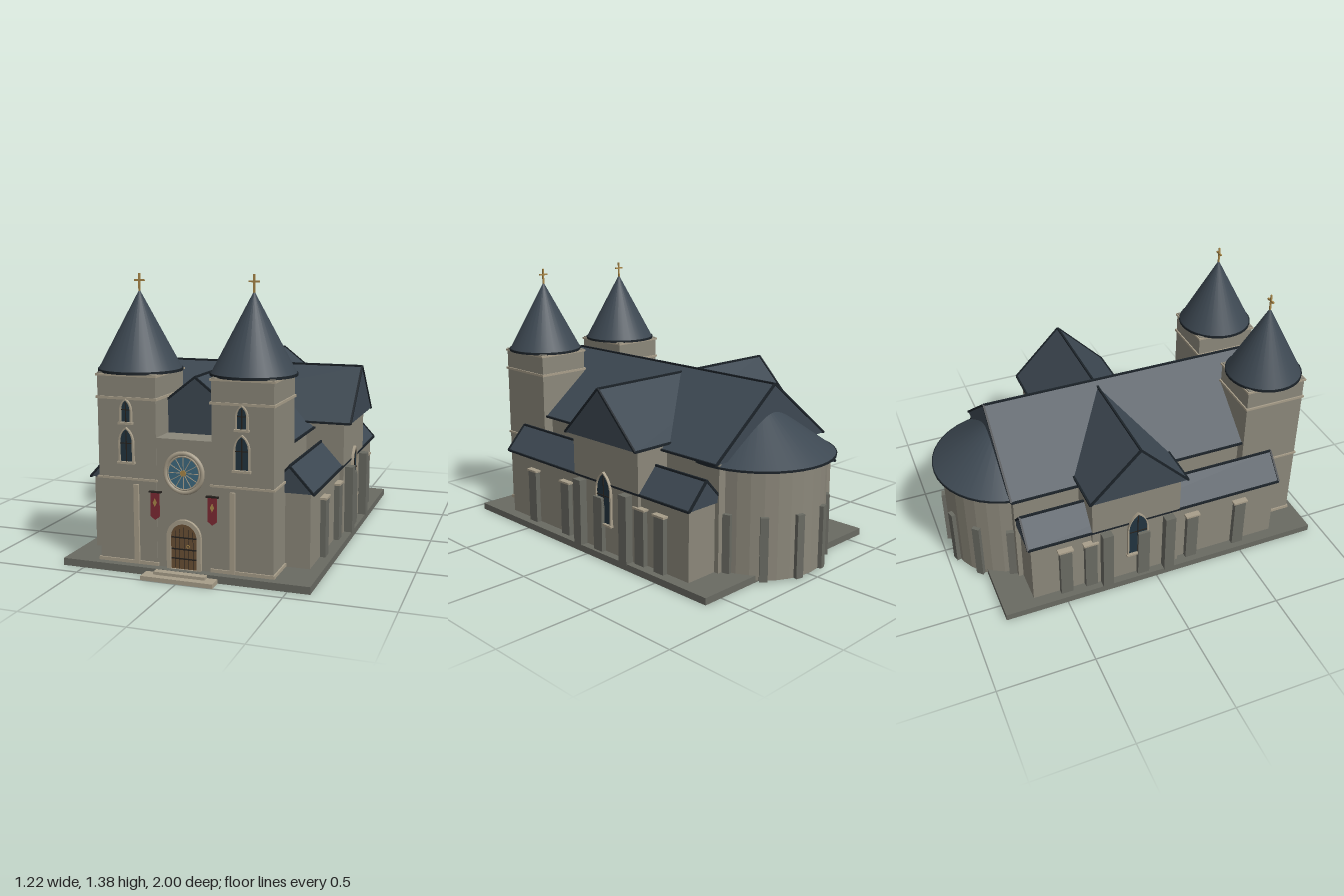
import * as THREE from 'three';

const mat = (color, flatShading = false) => new THREE.MeshStandardMaterial({ color, flatShading });
const M = {
  stone: mat(0x8b877a), stoneFlat: mat(0x8b877a, true), trim: mat(0xa89e8a), dark: mat(0x696a62),
  roof: mat(0x3d4852), edge: mat(0x1c2329), wood: mat(0x6b5035), iron: mat(0x26221e),
  glass: mat(0x22343f), rose: mat(0x3f6b80), red: mat(0x7e2a33), gold: mat(0xa98748),
};

export function createModel() {
  const root = new THREE.Group();

  const add = (name, geo, m, x = 0, y = 0, z = 0, parent = root) => {
    const mesh = new THREE.Mesh(geo, m);
    mesh.name = name;
    mesh.position.set(x, y, z);
    parent.add(mesh);
    return mesh;
  };
  // Box given by its min and max on each axis
  const box = (name, m, x0, x1, y0, y1, z0, z1, parent = root) =>
    add(name, new THREE.BoxGeometry(x1 - x0, y1 - y0, z1 - z0), m,
      (x0 + x1) / 2, (y0 + y1) / 2, (z0 + z1) / 2, parent);
  const group = (name, x = 0, y = 0, z = 0, parent = root) => {
    const g = new THREE.Group();
    g.name = name;
    g.position.set(x, y, z);
    parent.add(g);
    return g;
  };
  const extrude = (shape, depth) =>
    new THREE.ExtrudeGeometry(shape, { depth, bevelEnabled: false, curveSegments: 12 });

  // Solid gable roof along z with dark ridge, eaves and verges
  const gableRoof = (name, halfW, rise, length, parent) => {
    const g = group(name, 0, 0, 0, parent);
    const s = new THREE.Shape();
    s.moveTo(-halfW, 0); s.lineTo(halfW, 0); s.lineTo(0, rise); s.closePath();
    add('roofSlopes', extrude(s, length), M.roof, 0, 0, -length / 2, g);
    const t = 0.01, slope = Math.hypot(halfW, rise), a = Math.atan2(rise, halfW);
    box('ridge', M.edge, -t / 2, t / 2, rise - t / 2, rise + t / 2, -length / 2, length / 2, g);
    for (const sx of [-1, 1]) {
      add('eave', new THREE.BoxGeometry(t, t, length), M.edge, sx * halfW, 0, 0, g);
      for (const sz of [-1, 1]) {
        const v = add('verge', new THREE.BoxGeometry(slope, t, t), M.edge,
          sx * halfW / 2, rise / 2, sz * length / 2, g);
        v.rotation.z = -sx * a;
      }
    }
    return g;
  };

  // Pointed or round arch outline standing on y = 0
  const arch = (w, h, round, Type = THREE.Shape, y0 = 0) => {
    const s = new Type();
    s.moveTo(-w, y0);
    s.lineTo(w, y0);
    if (round) s.absarc(0, h - w, w, 0, Math.PI, false);
    else {
      s.lineTo(w, h - 2 * w);
      s.quadraticCurveTo(w, h - 0.7 * w, 0, h);
      s.quadraticCurveTo(-w, h - 0.7 * w, -w, h - 2 * w);
    }
    s.closePath();
    return s;
  };
  // Arched opening: frame, filling and optional sill, facing +z
  const opening = (name, w, h, f, round, fill, parent, sill = true) => {
    const g = group(name, 0, 0, 0, parent);
    const outer = arch(w + f, h + f, round);
    outer.holes.push(arch(w, h, round, THREE.Path, 0.001));
    add('frame', extrude(outer, 0.018), M.trim, 0, 0, -0.004, g);
    add('filling', extrude(arch(w, h, round), 0.01), fill, 0, 0, -0.004, g);
    if (sill) box('sill', M.trim, -w - f - 0.005, w + f + 0.005, -0.01, 0, -0.004, 0.02, g);
    return g;
  };
  const lancet = (w, h, x, y, z, parent = root) => {
    const g = opening('lancetWindow', w, h, 0.008, false, M.glass, parent);
    g.position.set(x, y, z);
    box('mullion', M.iron, -0.002, 0.002, 0, h - 0.01, 0, 0.01, g);
    box('glazingBar', M.iron, -w, w, h * 0.55, h * 0.55 + 0.004, 0, 0.01, g);
    return g;
  };

  // Plinth and steps
  box('plinth', M.dark, -0.605, 0.605, 0, 0.035, -0.83, 0.93);
  box('lowerStep', M.trim, -0.175, 0.175, 0, 0.02, 0.9, 1.0);
  box('upperStep', M.trim, -0.125, 0.125, 0.02, 0.034, 0.9, 0.965);

  // Nave
  box('naveWalls', M.stone, -0.37, 0.37, 0.03, 0.59, -0.69, 0.74);
  gableRoof('naveRoof', 0.41, 0.32, 1.455).position.set(0, 0.585, 0.02);

  // Transept
  box('transeptWalls', M.stone, -0.565, 0.565, 0.03, 0.62, -0.345, 0.136);
  const tr = gableRoof('transeptRoof', 0.262, 0.265, 1.205);
  tr.position.set(0, 0.615, -0.105);
  tr.rotation.y = Math.PI / 2;

  // Aisles, side buttresses and transept windows
  for (const s of [-1, 1]) {
    const xs = (a, b) => (s > 0 ? [a, b] : [-b, -a]);
    box('aisleWalls', M.stone, ...xs(0.34, 0.545), 0.03, 0.395, -0.665, 0.71);
    gableRoof('aisleRoof', 0.115, 0.125, 1.405).position.set(s * 0.447, 0.39, 0.02);
    for (const z of [0.495, 0.215, -0.07, -0.355, -0.49]) {
      const mid = z === -0.07;
      box('aisleButtress', M.dark, ...xs(0.53, mid ? 0.59 : 0.572), 0.03, 0.318, z - 0.032, z + 0.032);
      if (!mid) box('buttressCap', M.trim, ...xs(0.53, 0.577), 0.318, 0.328, z - 0.04, z + 0.04);
    }
    for (const z of [0.07, -0.275])
      box('transeptButtress', M.dark, ...xs(0.55, 0.608), 0.03, 0.38, z - 0.028, z + 0.028);
    lancet(0.05, 0.26, s * 0.565, 0.185, -0.1).rotation.y = s * Math.PI / 2;
  }

  // Apse with conical roof and radial buttresses
  const apse = group('apse', 0, 0, -0.62);
  add('apseWall', new THREE.CylinderGeometry(0.335, 0.335, 0.55, 32), M.stoneFlat, 0, 0.285, 0, apse);
  add('apseEave', new THREE.CylinderGeometry(0.38, 0.38, 0.01, 40), M.edge, 0, 0.56, 0, apse);
  add('apseRoof', new THREE.ConeGeometry(0.375, 0.26, 40), M.roof, 0, 0.695, 0, apse);
  for (const deg of [-75, -45, -15, 15, 45, 75]) {
    const a = THREE.MathUtils.degToRad(deg);
    const b = add('apseButtress', new THREE.BoxGeometry(0.04, 0.32, 0.04), M.dark,
      Math.sin(a) * 0.335, 0.17, -Math.cos(a) * 0.335, apse);
    b.rotation.y = -a;
  }

  // Front wall between the towers
  box('frontWall', M.stone, -0.14, 0.14, 0.03, 0.64, 0.75, 0.888);

  // Towers with bands, windows, spire and cross
  for (const s of [-1, 1]) {
    const t = group(s > 0 ? 'leftTower' : 'rightTower', s * 0.28, 0, 0.728);
    box('towerWalls', M.stone, -0.145, 0.145, 0.03, 0.93, -0.163, 0.163, t);
    for (const [y, h] of [[0.045, 0.016], [0.44, 0.01], [0.815, 0.012], [0.92, 0.01]])
      box('band', M.trim, -0.152, 0.152, y - h / 2, y + h / 2, -0.17, 0.17, t);
    add('spireEave', new THREE.CylinderGeometry(0.2, 0.2, 0.012, 32), M.edge, 0, 0.932, 0, t);
    add('spire', new THREE.ConeGeometry(0.195, 0.365, 32), M.roof, 0, 1.12, 0, t);
    box('crossPost', M.gold, -0.004, 0.004, 1.29, 1.376, -0.004, 0.004, t);
    box('crossBar', M.gold, -0.026, 0.026, 1.34, 1.348, -0.004, 0.004, t);
    lancet(0.03, 0.152, 0, 0.522, 0.163, t);
    lancet(0.022, 0.1, 0, 0.706, 0.163, t);
    box('pilaster', M.trim, s * -0.045 - 0.012, s * -0.045 + 0.012, 0.04, 0.417, 0.16, 0.175, t);

    // Hanging banner
    const b = group('banner', s * 0.14, 0, 0.897);
    const cloth = new THREE.Shape();
    [[-0.022, 0.385], [-0.022, 0.275], [0, 0.258], [0.022, 0.275], [0.022, 0.385]]
      .forEach(([x, y], i) => (i ? cloth.lineTo(x, y) : cloth.moveTo(x, y)));
    add('bannerCloth', extrude(cloth, 0.005), M.red, 0, 0, 0, b);
    box('bannerRod', M.iron, -0.03, 0.03, 0.386, 0.393, -0.01, 0.008, b);
    const d = add('bannerDiamond', new THREE.CylinderGeometry(0.02, 0.02, 0.003, 4), M.gold, 0, 0.34, 0.006, b);
    d.rotation.x = Math.PI / 2;
    d.scale.x = 0.5;
  }

  // Door with planks, straps and ring
  const door = opening('door', 0.064, 0.215, 0.02, true, M.wood, root, false);
  door.position.set(0, 0.035, 0.89);
  for (let i = -2; i <= 2; i++)
    box('plankGap', M.iron, i * 0.022 - 0.001, i * 0.022 + 0.001, 0, 0.2 - Math.abs(i) * 0.01, 0, 0.007, door);
  for (const y of [0.05, 0.095, 0.15]) box('strap', M.iron, -0.062, 0.062, y - 0.003, y + 0.003, 0, 0.009, door);
  add('doorRing', new THREE.TorusGeometry(0.007, 0.002, 6, 12), M.gold, 0.02, 0.11, 0.008, door);

  // Rose window
  const rose = group('roseWindow', 0, 0.487, 0.89);
  add('roseGlass', new THREE.CylinderGeometry(0.08, 0.08, 0.01, 40), M.rose, 0, 0, 0, rose).rotation.x = Math.PI / 2;
  add('outerRing', new THREE.TorusGeometry(0.09, 0.011, 8, 40), M.trim, 0, 0, 0, rose);
  add('innerRing', new THREE.TorusGeometry(0.077, 0.005, 6, 40), M.trim, 0, 0, 0.004, rose);
  for (let i = 0; i < 6; i++)
    add('spoke', new THREE.BoxGeometry(0.154, 0.003, 0.006), M.trim, 0, 0, 0.005, rose).rotation.z = i * Math.PI / 6;
  add('roseHub', new THREE.CylinderGeometry(0.014, 0.014, 0.012, 16), M.gold, 0, 0, 0.005, rose).rotation.x = Math.PI / 2;

  return root;
}
